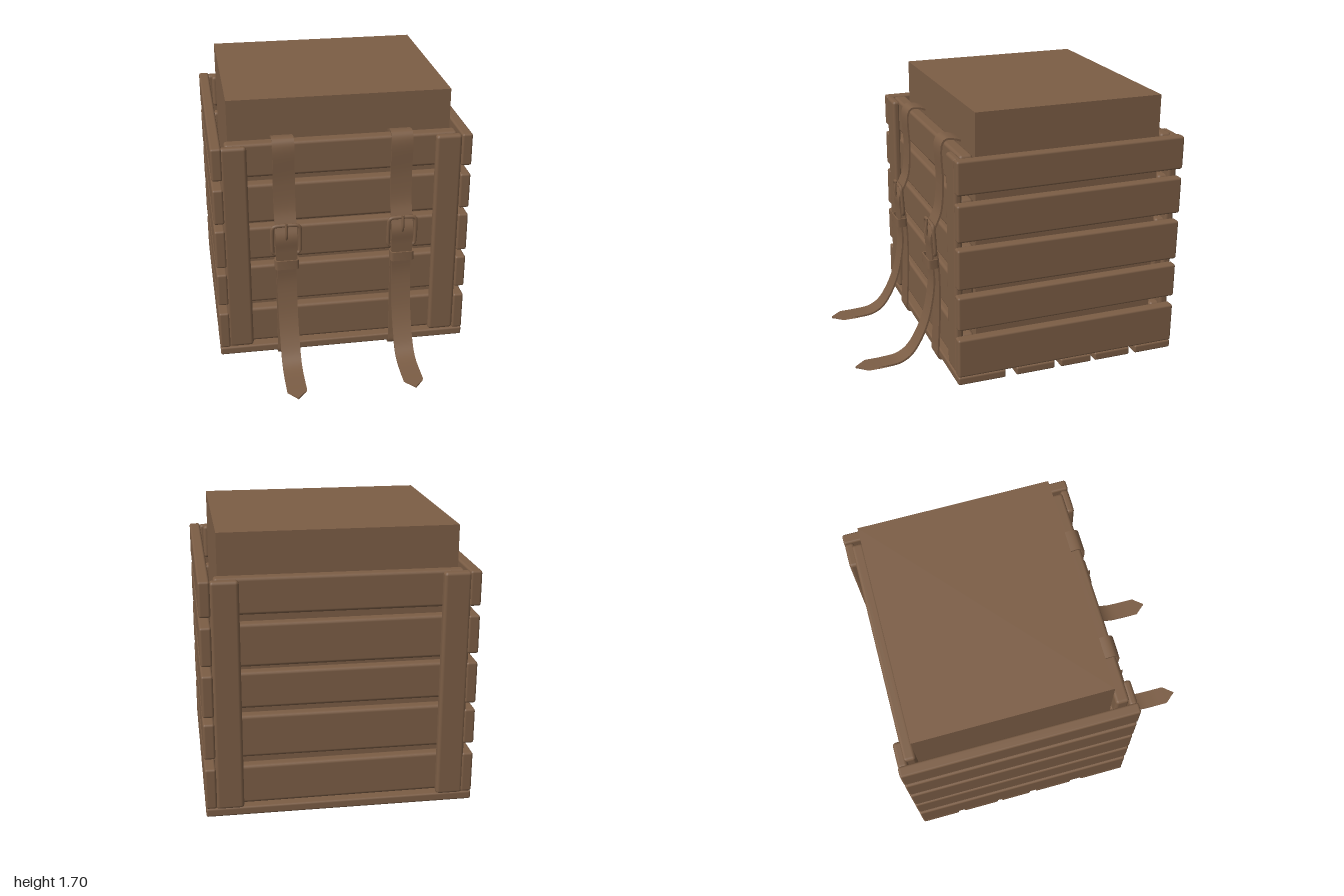
import * as THREE from 'three';
import { RoundedBoxGeometry } from 'three/addons/geometries/RoundedBoxGeometry.js';
import { toCreasedNormals } from 'three/addons/utils/BufferGeometryUtils.js';

const brown = new THREE.MeshStandardMaterial({ color: 0x7b5d45 });
brown.name = 'brown wood and leather';

function add(parent, geometry, name) {
  const mesh = new THREE.Mesh(geometry, brown);
  mesh.name = name;
  parent.add(mesh);
  return mesh;
}

// Softly rounded board given by its minimum and maximum corners
function board(parent, name, [x0, y0, z0], [x1, y1, z1], radius = 0.012) {
  const geo = new RoundedBoxGeometry(x1 - x0, y1 - y0, z1 - z0, 2, radius);
  const mesh = add(parent, geo, name);
  mesh.position.set((x0 + x1) / 2, (y0 + y1) / 2, (z0 + z1) / 2);
  return mesh;
}

// Leather ribbon following a smooth path of [z, y] points, with an optional pointed tip
function ribbon(points, width, thickness, tipStart = Infinity, tipEnd = 1) {
  const curve = new THREE.CatmullRomCurve3(
    points.map(([z, y]) => new THREE.Vector3(z, y, 0)), false, 'centripetal');
  const count = points.length * 5;
  const outer = [], inner = [];
  for (let i = 0; i <= count; i++) {
    const p = curve.getPoint(i / count), t = curve.getTangent(i / count);
    const nx = -t.y * thickness / 2, ny = t.x * thickness / 2;
    outer.push(new THREE.Vector2(p.x + nx, p.y + ny));
    inner.unshift(new THREE.Vector2(p.x - nx, p.y - ny));
  }
  const geo = new THREE.ExtrudeGeometry(new THREE.Shape([...outer, ...inner]),
    { depth: width, bevelEnabled: false });
  geo.translate(0, 0, -width / 2).rotateY(-Math.PI / 2);
  const pos = geo.attributes.position;
  for (let i = 0; i < pos.count; i++) {
    const z = pos.getZ(i);
    if (z > tipStart) pos.setX(i, pos.getX(i) * Math.max(0.03, (tipEnd - z) / (tipEnd - tipStart)));
  }
  return toCreasedNormals(geo, 0.7);
}

// Outline of a rounded rectangle
function roundedRect(path, w, h, r) {
  const x = w / 2, y = h / 2;
  path.moveTo(-x + r, -y).lineTo(x - r, -y).quadraticCurveTo(x, -y, x, -y + r);
  path.lineTo(x, y - r).quadraticCurveTo(x, y, x - r, y);
  path.lineTo(-x + r, y).quadraticCurveTo(-x, y, -x, y - r);
  path.lineTo(-x, -y + r).quadraticCurveTo(-x, -y, -x + r, -y);
  return path;
}

function makeStrap(x) {
  const strap = new THREE.Group();
  strap.name = 'buckledStrap';
  strap.position.x = x;

  // Upper strap hooks over the rim, passes the buckle and trails on the ground
  add(strap, ribbon([[0.30, 1.455], [0.35, 1.472], [0.405, 1.474], [0.43, 1.44], [0.425, 1.2],
    [0.44, 1.02], [0.475, 0.93], [0.505, 0.86], [0.50, 0.77], [0.495, 0.66]], 0.135, 0.012), 'upperStrap');
  add(strap, ribbon([[0.495, 0.67], [0.49, 0.55], [0.505, 0.42], [0.535, 0.29], [0.585, 0.17],
    [0.65, 0.075], [0.72, 0.033], [0.82, 0.021], [0.92, 0.019], [1.0, 0.018]],
    0.122, 0.012, 0.93), 'strapTail');
  // Lower strap wraps under the floor
  add(strap, ribbon([[0.26, 0.008], [0.45, 0.008], [0.472, 0.025], [0.47, 0.1], [0.458, 0.35],
    [0.458, 0.6], [0.47, 0.76]], 0.13, 0.012), 'lowerStrap');

  // Buckle frame and prong
  const outline = roundedRect(new THREE.Path(), 0.172, 0.2, 0.03).getPoints(4);
  outline.pop();
  const frameCurve = new THREE.CatmullRomCurve3(
    outline.map(p => new THREE.Vector3(p.x, p.y, 0)), true, 'centripetal');
  const frame = add(strap, new THREE.TubeGeometry(frameCurve, 64, 0.012, 8, true), 'buckleFrame');
  frame.position.set(0, 0.842, 0.492);
  frame.rotation.x = 0.06;
  const prong = new THREE.CatmullRomCurve3([[0.47, 0.75], [0.495, 0.83], [0.516, 0.88], [0.512, 0.962]]
    .map(([z, y]) => new THREE.Vector3(0, y, z)));
  add(strap, new THREE.TubeGeometry(prong, 16, 0.009, 8), 'buckleProng');

  // Keeper loop
  const loop = roundedRect(new THREE.Shape(), 0.15, 0.072, 0.02);
  loop.holes.push(roundedRect(new THREE.Path(), 0.132, 0.054, 0.015));
  const keeperGeo = new THREE.ExtrudeGeometry(loop, { depth: 0.06, bevelEnabled: false, curveSegments: 4 });
  const keeper = add(strap, toCreasedNormals(keeperGeo.rotateX(-Math.PI / 2), 0.7), 'keeperLoop');
  keeper.position.set(0, 0.652, 0.495);
  return strap;
}

export function createModel() {
  const model = new THREE.Group();
  model.name = 'strappedCrate';

  // Packed box inside the crate
  const box = add(model, new THREE.BoxGeometry(1.38, 1.63, 1.19), 'innerBox');
  box.position.set(0, 0.885, -0.285);

  // Floor boards
  [[0.15, 0.46], [-0.18, 0.08], [-0.43, -0.22], [-0.70, -0.455], [-0.995, -0.74]].forEach(([z0, z1]) =>
    board(model, 'floorBoard', [-0.8, 0.017, z0], [0.8, 0.07, z1]));

  // Side slats, mirrored, each slightly uneven
  const sideRows = [[0.07, 0.325], [0.388, 0.608], [0.652, 0.908], [0.958, 1.19], [1.247, 1.456]];
  const tilts = [0, 0.002, -0.004, 0.002, 0.001];
  for (const s of [-1, 1]) {
    sideRows.forEach(([y0, y1], i) => {
      const [x0, x1] = s > 0 ? [0.735, 0.802] : [-0.802, -0.735];
      board(model, 'sideSlat', [x0, y0, -0.997], [x1, y1, 0.459], 0.014).rotation.x = tilts[i];
    });
  }

  // Front and back slats
  const endRows = [[0.075, 0.318], [0.37, 0.632], [0.678, 0.9], [0.932, 1.19], [1.24, 1.458]];
  for (const [name, z0, z1] of [['frontSlat', 0.33, 0.415], ['backSlat', -0.955, -0.88]]) {
    endRows.forEach(([y0, y1], i) =>
      board(model, name, [-0.715, y0, z0], [0.715, y1, z1], 0.02).rotation.z = tilts[(i + 2) % 5]);
  }

  // Corner posts
  for (const s of [-1, 1]) {
    const [x0, x1] = s > 0 ? [0.575, 0.738] : [-0.745, -0.585];
    board(model, 'frontPost', [x0, 0.07, 0.405], [x1, 1.452, 0.456], 0.02);
    board(model, 'backPost', [x0, 0.06, -0.995], [x1, 1.452, -0.935], 0.02);
  }

  // Straps
  model.add(makeStrap(-0.365), makeStrap(0.365));
  return model;
}
